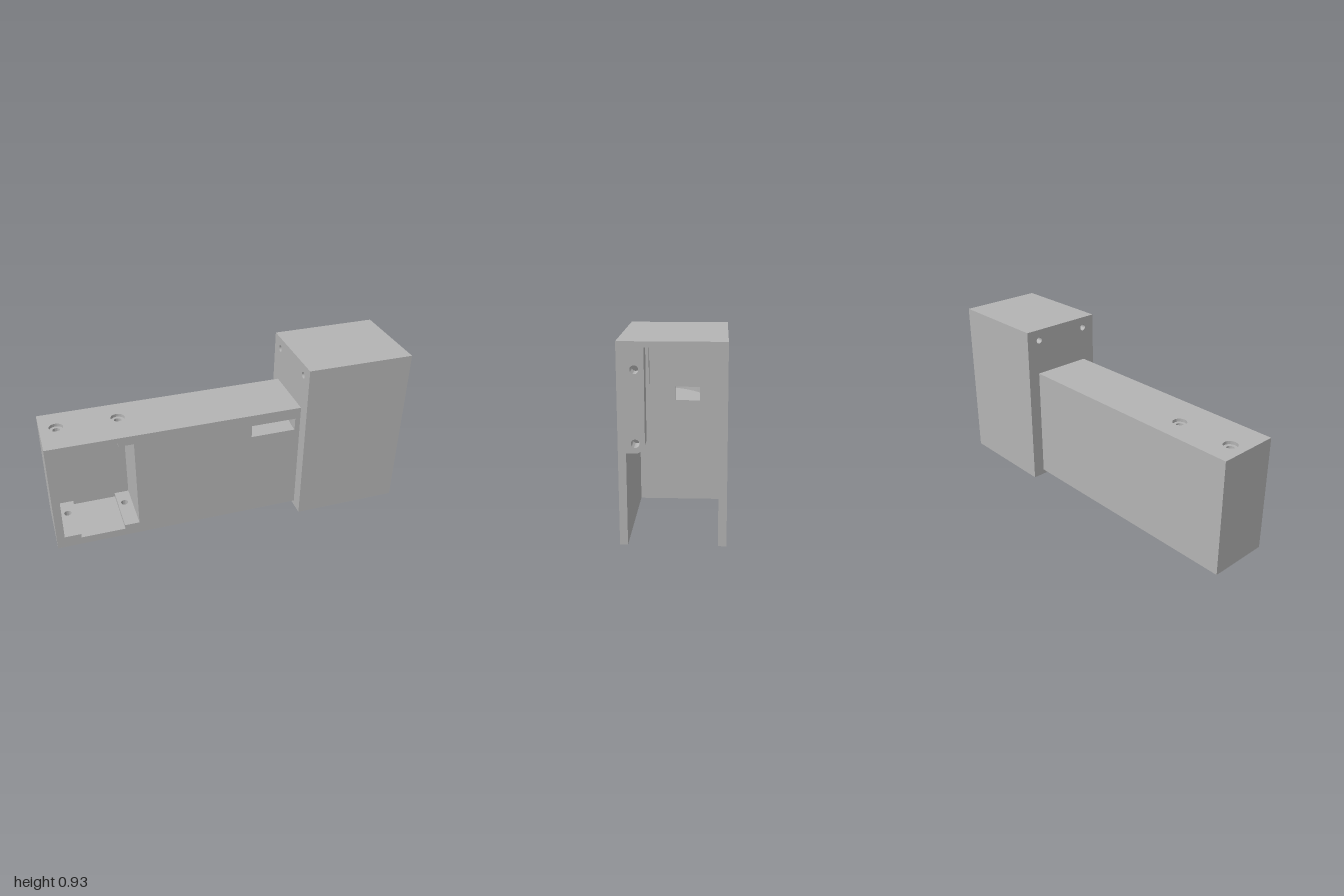
import * as THREE from 'three';
import { mergeGeometries, toCreasedNormals } from 'three/addons/utils/BufferGeometryUtils.js';

// Local frame: u along the arm (x), y up, w towards the front (z).
const ARM = { u0: -0.99, u1: 0.375, w0: -0.139, w1: 0.196 };
const HEAD = { u0: 0.375, u1: 0.964, w0: -0.207, w1: 0.27, y0: 0.009, y1: 0.932 };
const CAV = { u0: 0.4, w0: -0.169, w1: 0.234, y1: 0.905 };
const MID = (CAV.w0 + CAV.w1) / 2;

function fill(path, points) {
  points.forEach(([a, b], i) => (i ? path.lineTo(a, b) : path.moveTo(a, b)));
  path.closePath();
  return path;
}
const rectPoints = (a0, a1, b0, b1) => [[a0, b0], [a1, b0], [a1, b1], [a0, b1]];
const rectShape = (...r) => fill(new THREE.Shape(), rectPoints(...r));
const rectHole = (...r) => fill(new THREE.Path(), rectPoints(...r));
const roundHole = (a, b, r) => new THREE.Path().absarc(a, b, r, 0, Math.PI * 2, true);

// Extrude a plan shape (u, -w) upwards between two heights
function layer(shape, y0, y1) {
  const g = new THREE.ExtrudeGeometry(shape, { depth: y1 - y0, bevelEnabled: false, curveSegments: 16 });
  return g.rotateX(-Math.PI / 2).translate(0, y0, 0);
}
// Extrude an end-on shape (-w, y) along the arm direction
function slab(shape, u0, u1) {
  const g = new THREE.ExtrudeGeometry(shape, { depth: u1 - u0, bevelEnabled: false, curveSegments: 16 });
  return g.rotateY(Math.PI / 2).translate(u0, 0, 0);
}
function box(u0, u1, y0, y1, w0, w1) {
  return new THREE.BoxGeometry(u1 - u0, y1 - y0, w1 - w0)
    .translate((u0 + u1) / 2, (y0 + y1) / 2, (w0 + w1) / 2);
}

// Arm: stacked plan layers around the pocket and the curved cable channel
function armGeometry() {
  const screws = [-0.904, -0.584];
  const rect = () => rectShape(ARM.u0, ARM.u1, -ARM.w1, -ARM.w0);
  const drilled = (r) => {
    const s = rect();
    screws.forEach((u) => s.holes.push(roundHole(u, 0, r)));
    return s;
  };
  // Outline with a bay open to the front
  const bay = (u0, u1) => fill(new THREE.Shape(), [
    [ARM.u0, -ARM.w1], [u0, -ARM.w1], [u0, 0.1], [u1, 0.1], [u1, -ARM.w1],
    [ARM.u1, -ARM.w1], [ARM.u1, -ARM.w0], [ARM.u0, -ARM.w0],
  ]);
  const recess = () => {
    const s = bay(-0.86, -0.622);
    screws.forEach((u) => s.holes.push(roundHole(u, 0, 0.02)));
    return s;
  };
  const pocket = () => bay(-0.948, -0.542);

  // Layer cut by the channel that bends from the front face into the head
  const outer = new THREE.Shape();
  outer.moveTo(ARM.u0, -ARM.w1);
  [[-0.948, -ARM.w1], [-0.948, 0.1], [-0.542, 0.1], [-0.542, -ARM.w1], [0.097, -ARM.w1]]
    .forEach(([a, b]) => outer.lineTo(a, b));
  outer.bezierCurveTo(0.097, -0.03, 0.22, 0.109, ARM.u1, 0.109);
  outer.lineTo(ARM.u1, -ARM.w0);
  outer.lineTo(ARM.u0, -ARM.w0);
  outer.closePath();
  const inner = new THREE.Shape();
  inner.moveTo(0.346, -ARM.w1);
  inner.lineTo(ARM.u1, -ARM.w1);
  inner.lineTo(ARM.u1, -0.054);
  inner.quadraticCurveTo(0.346, -0.07, 0.346, -ARM.w1);

  return mergeGeometries([
    layer(drilled(0.037), 0.037, 0.056),
    layer(drilled(0.02), 0.056, 0.08),
    layer(recess(), 0.08, 0.104),
    layer(pocket(), 0.104, 0.538),
    layer(outer, 0.538, 0.608),
    layer(inner, 0.538, 0.608),
    layer(pocket(), 0.608, 0.622),
    layer(recess(), 0.622, 0.642),
    layer(drilled(0.02), 0.642, 0.655),
    layer(drilled(0.037), 0.655, 0.672),
  ]);
}

export function createModel() {
  const grey = new THREE.MeshStandardMaterial({ color: 0xb4b4b4 });
  grey.name = 'grey';
  const model = new THREE.Group();
  model.name = 'bracket';
  const add = (name, geometry) => {
    const mesh = new THREE.Mesh(toCreasedNormals(geometry, 0.6), grey);
    mesh.name = name;
    model.add(mesh);
  };

  add('arm', armGeometry());

  // Head shell, open below and at the far end
  add('headTop', box(HEAD.u0, HEAD.u1, CAV.y1, HEAD.y1, HEAD.w0, HEAD.w1));
  add('headFrontWall', box(HEAD.u0, HEAD.u1, HEAD.y0, CAV.y1, CAV.w1, HEAD.w1));
  add('headBackWall', box(HEAD.u0, HEAD.u1, HEAD.y0, CAV.y1, HEAD.w0, CAV.w0));

  // Wall between arm and head, with cable slot and two screw holes
  const screwHoles = () => [-0.16, 0.16].map((d) => roundHole(-(MID + d), 0.87, 0.018));
  const wall = rectShape(-CAV.w1, -CAV.w0, HEAD.y0, CAV.y1);
  wall.holes.push(rectHole(-0.054, 0.109, 0.538, 0.608), ...screwHoles());
  add('headInnerWall', slab(wall, HEAD.u0, CAV.u0));

  // Raised surround on the inner wall
  const surround = fill(new THREE.Shape(), [
    [-CAV.w1, 0.624], [-0.183, 0.624], [-0.183, 0.823], [0.119, 0.823],
    [0.119, 0.624], [-CAV.w0, 0.624], [-CAV.w0, CAV.y1], [-CAV.w1, CAV.y1],
  ]);
  surround.holes.push(...screwHoles());
  add('screwSurround', slab(surround, CAV.u0, CAV.u0 + 0.03));

  // Mirrored mounting flanges with a rounded lower corner and two holes each
  for (const side of [1, -1]) {
    const half = (CAV.w1 - CAV.w0) / 2;
    const a = (d) => -(MID + side * d);
    const edge = half - 0.083, r = 0.045, bottom = 0.438;
    const flange = new THREE.Shape();
    flange.moveTo(a(half), CAV.y1);
    flange.lineTo(a(half), bottom);
    flange.lineTo(a(edge + r), bottom);
    flange.bezierCurveTo(a(edge + r * 0.45), bottom, a(edge), bottom + r * 0.45, a(edge), bottom + r);
    flange.lineTo(a(edge), CAV.y1);
    flange.closePath();
    for (const y of [0.483, 0.81]) flange.holes.push(roundHole(a(0.161), y, 0.019));
    add(side > 0 ? 'frontFlange' : 'backFlange', slab(flange, HEAD.u1 - 0.07, HEAD.u1));
  }

  // Turned about the vertical, with a slight downward lean
  model.rotation.set(0, THREE.MathUtils.degToRad(10), THREE.MathUtils.degToRad(-0.5));
  const root = new THREE.Group();
  root.name = 'mountingBracket';
  root.add(model);
  return root;
}
